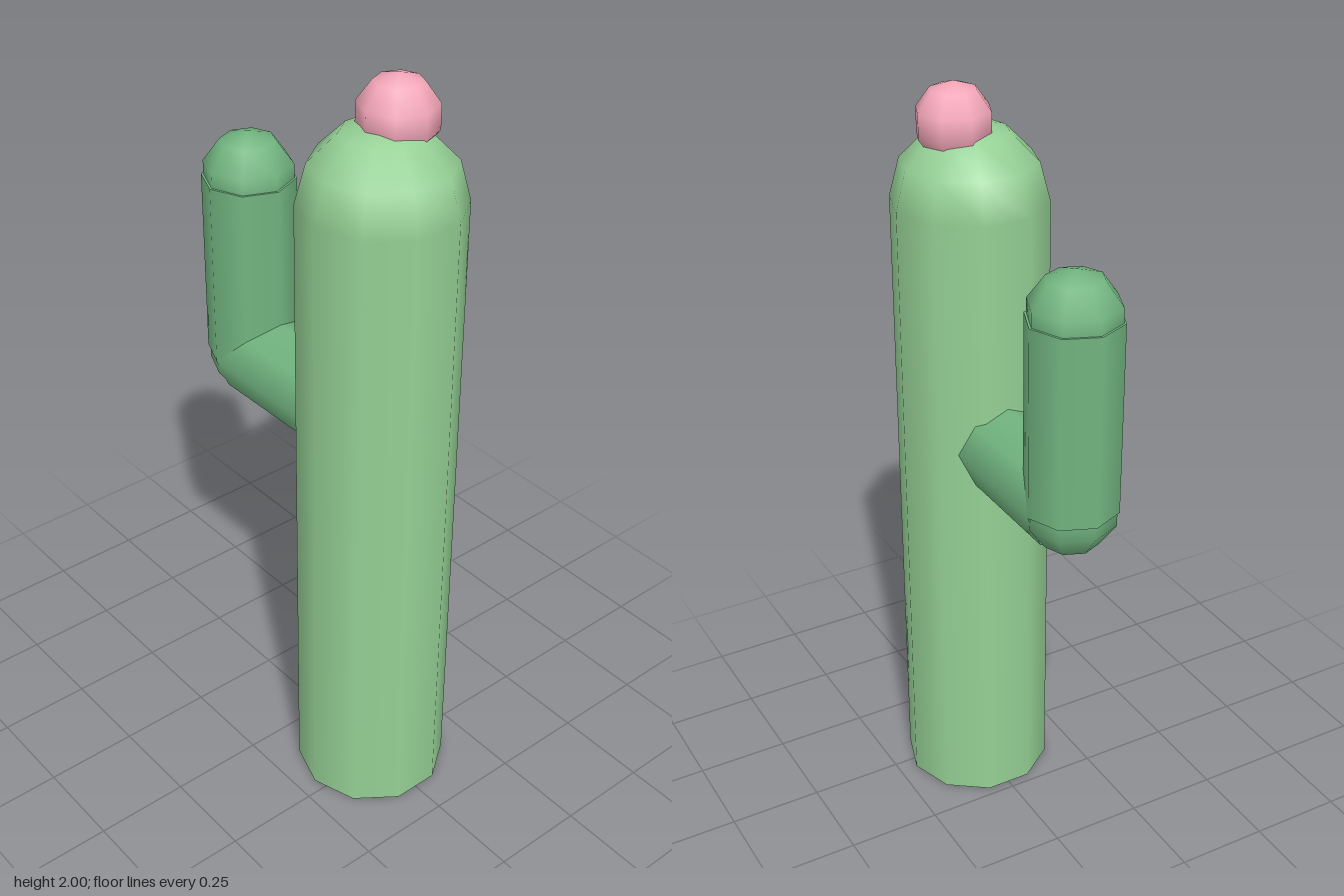
import * as THREE from 'three';

const trunkGreen = new THREE.MeshStandardMaterial({ color: 0x95d095 });
const armGreen = new THREE.MeshStandardMaterial({ color: 0x72b580 });
const pink = new THREE.MeshStandardMaterial({ color: 0xf4a7b9 });

const TRUNK_X = 0.215, ARM_X = -0.285, ARM_Y = 1.085, ARM_TOP = 1.58, ARM_R = 0.12;

export function createModel() {
  const cactus = new THREE.Group();
  cactus.name = 'cactus';

  const add = (name, geometry, material, x, y, z = 0) => {
    const mesh = new THREE.Mesh(geometry, material);
    mesh.name = name;
    mesh.position.set(x, y, z);
    cactus.add(mesh);
    return mesh;
  };
  const ball = (r) => new THREE.SphereGeometry(r, 8, 5);

  // Ten-sided trunk with a matching half-sphere on top
  add('trunk', new THREE.CylinderGeometry(0.2, 0.2, 1.7, 10), trunkGreen, TRUNK_X, 0.85);
  const dome = add('trunkDome',
    new THREE.SphereGeometry(0.2, 10, 3, 0, Math.PI * 2, 0, Math.PI / 2), trunkGreen, TRUNK_X, 1.7);
  dome.rotation.y = Math.PI / 2;

  // Flower bud, set slightly towards the back
  add('flowerBud', ball(0.1), pink, TRUNK_X, 1.9, -0.04);

  // Bent arm: horizontal branch, elbow, upright branch and rounded tip
  const reach = TRUNK_X - ARM_X;
  const branch = add('armBranch', new THREE.CylinderGeometry(ARM_R, ARM_R, reach, 8),
    armGreen, (TRUNK_X + ARM_X) / 2, ARM_Y);
  branch.rotation.z = Math.PI / 2;
  add('armElbow', ball(ARM_R), armGreen, ARM_X, ARM_Y);
  add('armUpright', new THREE.CylinderGeometry(ARM_R, ARM_R, ARM_TOP - ARM_Y, 8),
    armGreen, ARM_X, (ARM_TOP + ARM_Y) / 2);
  add('armTip', ball(ARM_R), armGreen, ARM_X, ARM_TOP);

  return cactus;
}
